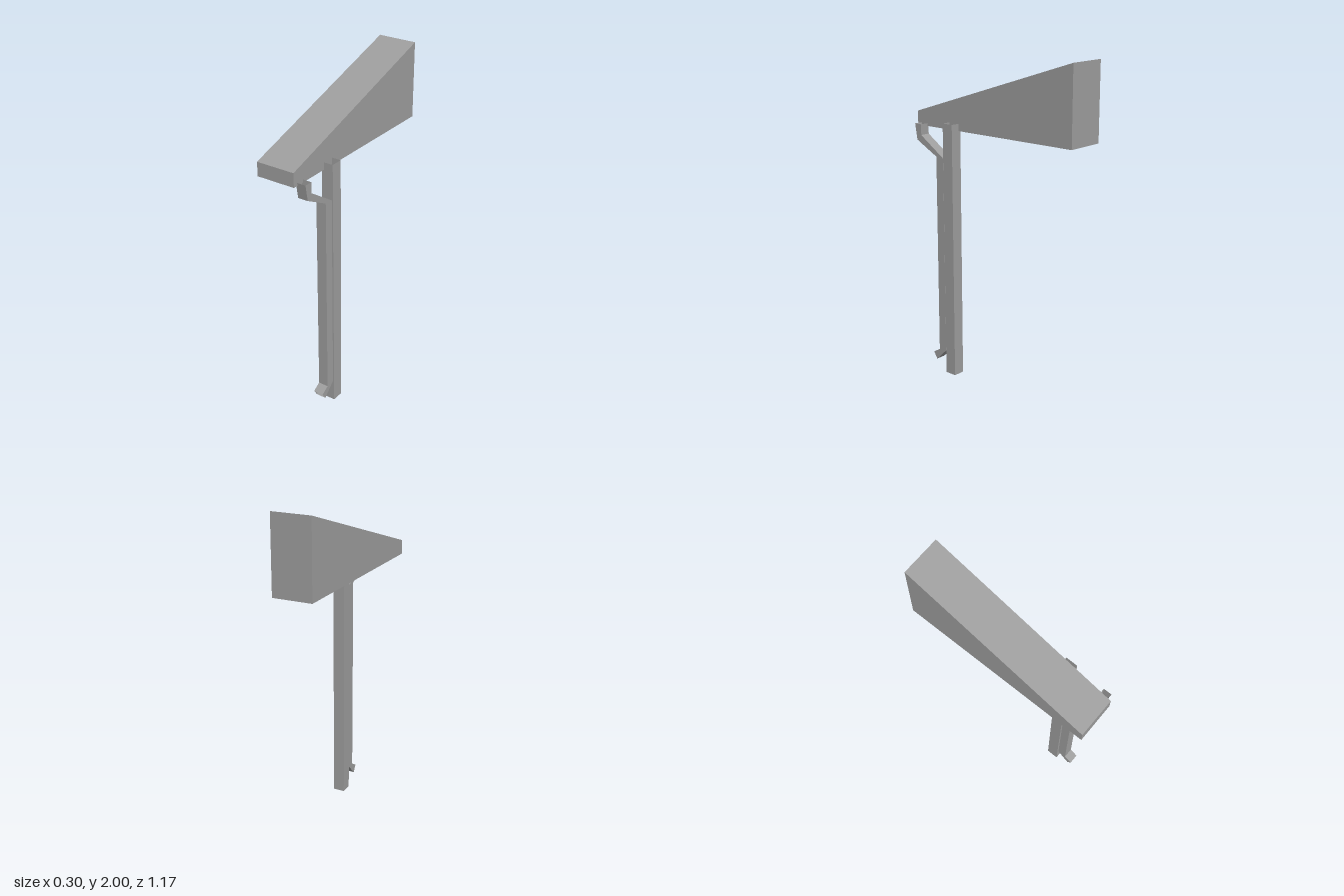
import * as THREE from 'three';

const material = new THREE.MeshStandardMaterial({ color: 0x9d9d9d, flatShading: true, side: THREE.DoubleSide });

// Open rectangular tube: each station is [outerZ, outerY, innerZ, innerY], spanning x0..x1.
function openTube(name, x0, x1, stations) {
  const positions = [];
  const index = [];
  stations.forEach(([oz, oy, iz, iy], s) => {
    positions.push(x0, oy, oz, x1, oy, oz, x1, iy, iz, x0, iy, iz);
    if (s === 0) return;
    for (let k = 0; k < 4; k++) {
      const n = (k + 1) % 4;
      const top = (s - 1) * 4;
      const low = s * 4;
      index.push(top + k, low + k, low + n, top + k, low + n, top + n);
    }
  });
  const geometry = new THREE.BufferGeometry();
  geometry.setAttribute('position', new THREE.Float32BufferAttribute(positions, 3));
  geometry.setIndex(index);
  const flat = geometry.toNonIndexed();
  flat.computeVertexNormals();
  const mesh = new THREE.Mesh(flat, material);
  mesh.name = name;
  return mesh;
}

// Solid wedge: a box whose front top edge is lowered.
function wedgeRoof() {
  const [x0, x1, bottom, back, front, halfZ] = [-0.15, 0.092, 1.537, 2, 1.622, 0.587];
  const geometry = new THREE.BoxGeometry(x1 - x0, back - bottom, halfZ * 2);
  geometry.translate((x0 + x1) / 2, (back + bottom) / 2, 0);
  const p = geometry.attributes.position;
  for (let i = 0; i < p.count; i++) {
    if (p.getZ(i) > 0 && p.getY(i) > 1.9) p.setY(i, front);
  }
  geometry.computeVertexNormals();
  const mesh = new THREE.Mesh(geometry, material);
  mesh.name = 'roof';
  return mesh;
}

export function createModel() {
  const model = new THREE.Group();
  model.name = 'roofWithDownpipe';

  model.add(wedgeRoof());

  // Hollow square post, open at both ends
  model.add(openTube('post', 0.078, 0.15, [
    [0.321, 1.581, 0.247, 1.581],
    [0.321, 0, 0.247, 0],
  ]));

  // Downpipe: inlet, elbow, long drop, kicked-out spout
  model.add(openTube('downpipe', 0.083, 0.146, [
    [0.558, 1.554, 0.507, 1.554],
    [0.541, 1.457, 0.507, 1.489],
    [0.382, 1.374, 0.326, 1.37],
    [0.382, 0.138, 0.326, 0.143],
    [0.433, 0.107, 0.406, 0.065],
  ]));

  return model;
}
